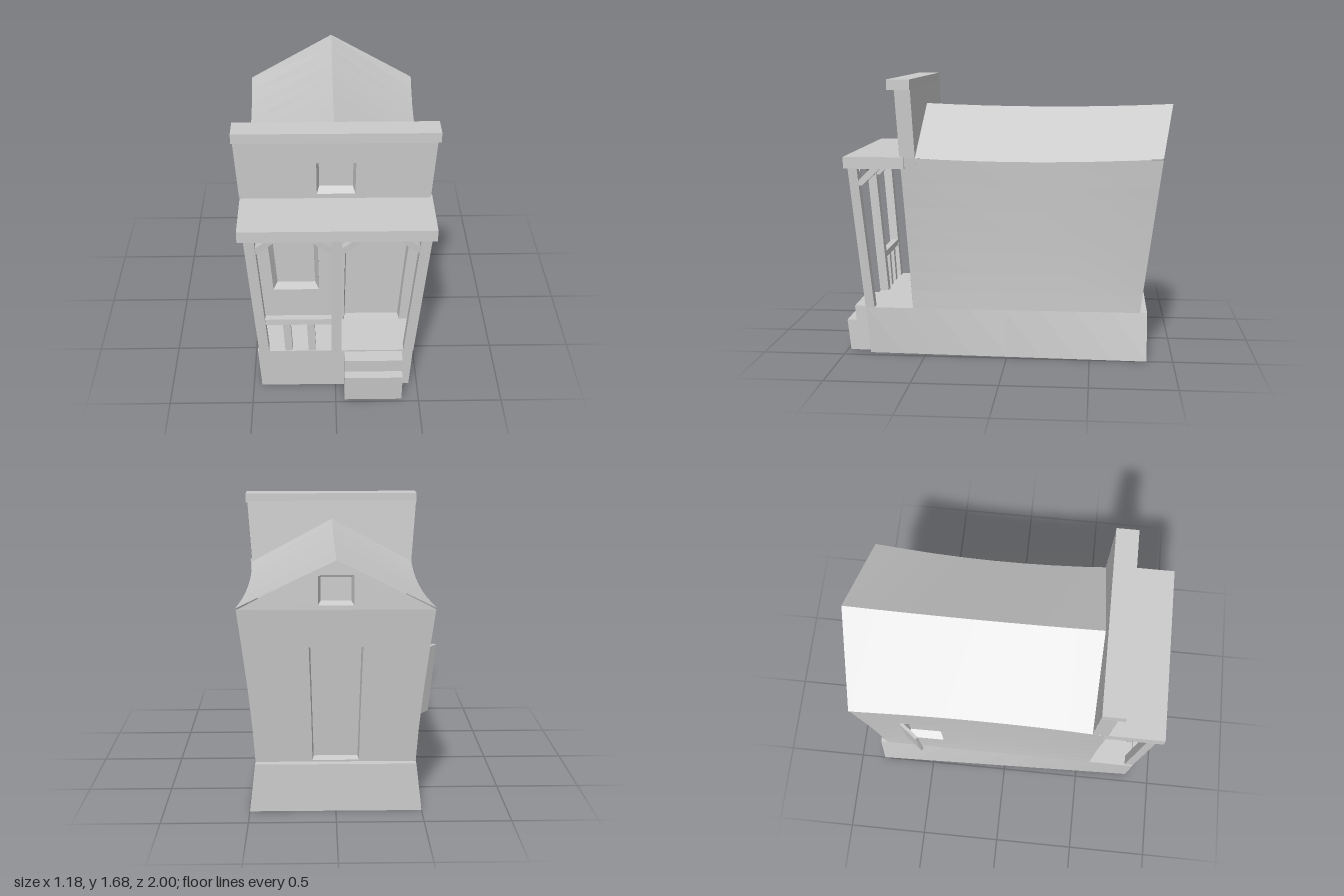
import * as THREE from 'three';

const mat = new THREE.MeshStandardMaterial({ color: 0xcccccc, flatShading: true, side: THREE.DoubleSide });
const lerp = THREE.MathUtils.lerp;
const FLOOR = 0.29, EAVE = 1.22;

// Half width of the crooked building at a height and depth
function halfWidth(y, z) {
  const k = (y - FLOOR) / 0.93, t = (z + 0.1) / 0.8;
  if (k < 0) return lerp(0.465, 0.475 - 0.03 * z, (FLOOR - y) / FLOOR);
  if (y > EAVE) return 0.547 + (y - EAVE) * 0.055;
  return 0.465 + 0.084 * k ** 1.3 - 0.025 * Math.max(0, 1 - t * t) * k;
}
const frontZ = y => 0.575 + (y - FLOOR) * 0.055;
const backZ = y => -0.8 - 0.115 * Math.min(1, (y - FLOOR) / 0.93);
const eaveY = z => 1.2 + 0.028 * ((z + 0.1) / 0.8) ** 2;
const ridgeY = z => 1.49 + 0.02 * ((z + 0.2) / 0.8) ** 2;
const steps = (a, b, n) => Array.from({ length: n + 1 }, (_, i) => lerp(a, b, i / n));

function build(name, points, index) {
  const g = new THREE.BufferGeometry();
  g.setAttribute('position', new THREE.Float32BufferAttribute(points.flat(), 3));
  g.setIndex(index);
  g.computeVertexNormals();
  const mesh = new THREE.Mesh(g, mat);
  mesh.name = name;
  return mesh;
}

// Surface over a grid of u and v lines; cells inside an opening are left out
function grid(name, us, vs, place, openings = []) {
  const points = [], index = [], n = us.length;
  for (const v of vs) for (const u of us) points.push(place(u, v, 0));
  for (let j = 0; j < vs.length - 1; j++) for (let i = 0; i < n - 1; i++) {
    const u = (us[i] + us[i + 1]) / 2, v = (vs[j] + vs[j + 1]) / 2;
    if (openings.some(o => u > o[0] && u < o[1] && v > o[2] && v < o[3])) continue;
    const a = j * n + i;
    index.push(a, a + 1, a + n + 1, a, a + n + 1, a + n);
  }
  return build(name, points, index);
}

// Sunken panel with splayed jambs behind an opening
function recess(name, [u0, u1, v0, v1], place, depth, iu, iv) {
  const ring = (a, b, d) => [[u0 + a, v0 + b], [u1 - a, v0 + b], [u1 - a, v1 - b], [u0 + a, v1 - b]]
    .map(([u, v]) => place(u, v, d));
  const index = [4, 5, 6, 4, 6, 7];
  for (let i = 0; i < 4; i++) {
    const j = (i + 1) % 4;
    index.push(i, j, j + 4, i, j + 4, i + 4);
  }
  return build(name, [...ring(0, 0, 0), ...ring(iu, iv, depth)], index);
}

// Leaning bar with a horizontal rectangular section, turned about y
function beam(name, a, b, sx, sz, turn = 0) {
  const g = new THREE.BoxGeometry(sx, 1, sz).rotateY(turn);
  const p = g.attributes.position;
  for (let i = 0; i < p.count; i++) {
    const t = p.getY(i) + 0.5;
    p.setXYZ(i, p.getX(i) + lerp(a[0], b[0], t), lerp(a[1], b[1], t), p.getZ(i) + lerp(a[2], b[2], t));
  }
  g.computeVertexNormals();
  const mesh = new THREE.Mesh(g, mat);
  mesh.name = name;
  return mesh;
}

function box(name, x0, x1, y0, y1, z0, z1) {
  const x = (x0 + x1) / 2, z = (z0 + z1) / 2;
  return beam(name, [x, y0, z], [x, y1, z], x1 - x0, z1 - z0);
}

export function createModel() {
  const model = new THREE.Group();
  model.name = 'crookedStorefront';
  const add = (...m) => model.add(...m);

  // Plinth, open underneath, carrying house and porch
  const plinthZ = (t, y) => lerp(-0.843, 0.845 + 0.02 * y / FLOOR, t);
  for (const s of [-1, 1]) add(grid('plinthSide', steps(0, 1, 8), [0, FLOOR], (t, y) => {
    const z = plinthZ(t, y);
    return [s * halfWidth(y, z), y, z];
  }));
  for (const t of [0, 1]) add(grid(t ? 'plinthFront' : 'plinthBack', [-1, 1], [0, FLOOR], (u, y) => {
    const z = plinthZ(t, y);
    return [u * halfWidth(y, z), y, z];
  }));
  const ledge = (name, z0, z1) => add(grid(name, [-1, 1], [z0, z1], (u, z) => [u * halfWidth(FLOOR, z), FLOOR, z]));
  ledge('porchFloor', frontZ(FLOOR), 0.865);
  ledge('backLedge', -0.843, backZ(FLOOR));

  // Front wall rising into the false front
  const front = (u, y, d) => [u * halfWidth(y, frontZ(y)), y, frontZ(y) - d];
  const frontWindow = [-0.78, -0.2, 0.54, 1.005], door = [0.12, 0.86, FLOOR, 1.01], sign = [-0.19, 0.21, 1.255, 1.465];
  add(grid('frontWall', [-1, -0.78, -0.2, -0.19, 0.12, 0.21, 0.86, 1],
    [FLOOR, 0.54, 0.75, 1.005, 1.01, EAVE, 1.255, 1.465, 1.63], front, [frontWindow, door, sign]));
  add(recess('frontWindow', frontWindow, front, 0.06, 0.05, 0.015));
  add(recess('frontDoor', door, front, 0.06, 0.015, 0.002));
  add(recess('upperWindow', sign, front, 0.05, 0.025, 0.025));

  // False front: back, ends and cornice
  const parapetBack = y => 0.535 + (y - 1.2) * 0.045;
  add(grid('parapetBack', [-1, 1], [1.18, 1.63], (u, y) => [u * halfWidth(y, frontZ(y)), y, parapetBack(y)]));
  for (const s of [-1, 1]) add(grid('parapetEnd', [0, 1], [1.18, EAVE, 1.63], (t, y) =>
    [s * halfWidth(y, frontZ(y)), y, lerp(parapetBack(y), frontZ(y), t)]));
  add(box('cornice', -0.573, 0.58, 1.62, 1.68, 0.555, 0.69));

  // Side walls, the right one with a window
  const side = s => (z, v, d) => {
    // The end columns follow the leaning front and back walls
    const y0 = lerp(FLOOR, eaveY(z), (v - FLOOR) / 0.93);
    const zz = z > 0.57 ? frontZ(y0) : z < -0.79 ? backZ(y0) : z;
    return [s * (halfWidth(y0, zz) - d), y0, zz];
  };
  const sideWindow = [-0.64, -0.4, 0.52, 0.92];
  const zs = [-0.8, -0.64, -0.4, -0.2, 0, 0.2, 0.4, 0.575];
  const ys = [FLOOR, 0.4, 0.52, 0.65, 0.78, 0.92, 1.07, EAVE];
  add(grid('leftWall', zs, ys, side(1)));
  add(grid('rightWall', zs, ys, side(-1), [sideWindow]));
  add(recess('sideWindow', sideWindow, side(-1), 0.05, 0.02, 0.02));
  add(beam('shutter', [-0.508, 0.51, -0.585], [-0.548, 0.92, -0.585], 0.14, 0.02, Math.atan2(0.11, 0.085)));

  // Back wall with a door
  const back = (u, y, d) => [u * halfWidth(Math.min(y, EAVE), backZ(y)), y, backZ(y) + d];
  const backDoor = [-0.29, 0.29, 0.3, 1.0];
  add(grid('backWall', [-1, -0.29, 0.29, 1], [FLOOR, 0.3, 0.5, 0.75, 1, EAVE], back, [backDoor]));
  add(recess('backDoor', backDoor, back, 0.05, 0.015, 0.01));

  // Gable with a small attic window
  const attic = [-0.18, 0.18, 1.245, 1.41];
  const shape = new THREE.Shape([[-1, EAVE], [1, EAVE], [0, 1.505]].map(p => new THREE.Vector2(...p)));
  const [a0, a1, b0, b1] = attic;
  shape.holes.push(new THREE.Path([[a0, b0], [a0, b1], [a1, b1], [a1, b0]].map(p => new THREE.Vector2(...p))));
  const flat = new THREE.ShapeGeometry(shape), fp = flat.attributes.position;
  const gablePoints = [];
  for (let i = 0; i < fp.count; i++) gablePoints.push(back(fp.getX(i), fp.getY(i), 0));
  add(build('gable', gablePoints, [...flat.index.array]));
  add(recess('atticWindow', attic, back, 0.05, 0.025, 0.015));

  // Sagging roof whose ridge juts out at the back
  add(grid('roof', [-1, 0, 1], steps(0, 1, 8), (u, t) => {
    const z = lerp(-0.915 - 0.085 * (1 - Math.abs(u)), 0.58, t);
    return [u * (halfWidth(eaveY(z) > EAVE ? EAVE : eaveY(z), z) + 0.004), u ? eaveY(z) : ridgeY(z), z];
  }));

  // Porch roof on leaning posts
  add(box('porchRoof', -0.545, 0.557, 1.155, 1.225, 0.6, 0.963));
  const posts = [[-0.427, -0.483], [0.005, 0.005], [0.437, 0.502]];
  posts.forEach(([x0, x1], i) => {
    add(beam('porchPost', [x0, FLOOR, 0.84], [x1, 1.156, 0.915], 0.06, 0.055));
    // Diagonal braces along the roof edge and back under it
    for (const s of [-1, 1]) {
      if (i + s < 0 || i + s > 2) continue;
      add(beam('brace', [x1 + s * 0.015, 1.05, 0.905], [x1 + s * 0.14, 1.156, 0.915], 0.06, 0.04));
    }
    add(beam('backBrace', [x1, 1.05, 0.885], [x1, 1.156, 0.775], 0.04, 0.055));
  });

  // Railing on the right half of the porch
  add(box('rail', -0.43, 0, 0.5, 0.54, 0.835, 0.875));
  for (const [x0, x1] of [[-0.278, -0.288], [-0.139, -0.147]])
    add(beam('baluster', [x0, FLOOR, 0.84], [x1, 0.505, 0.855], 0.045, 0.04));

  // Entrance steps
  add(beam('lowerStep', [0.225, 0, 0.905], [0.225, 0.19, 0.925], 0.345, 0.15));
  add(beam('upperStep', [0.225, 0, 0.87], [0.225, 0.28, 0.893], 0.345, 0.115));
  return model;
}
